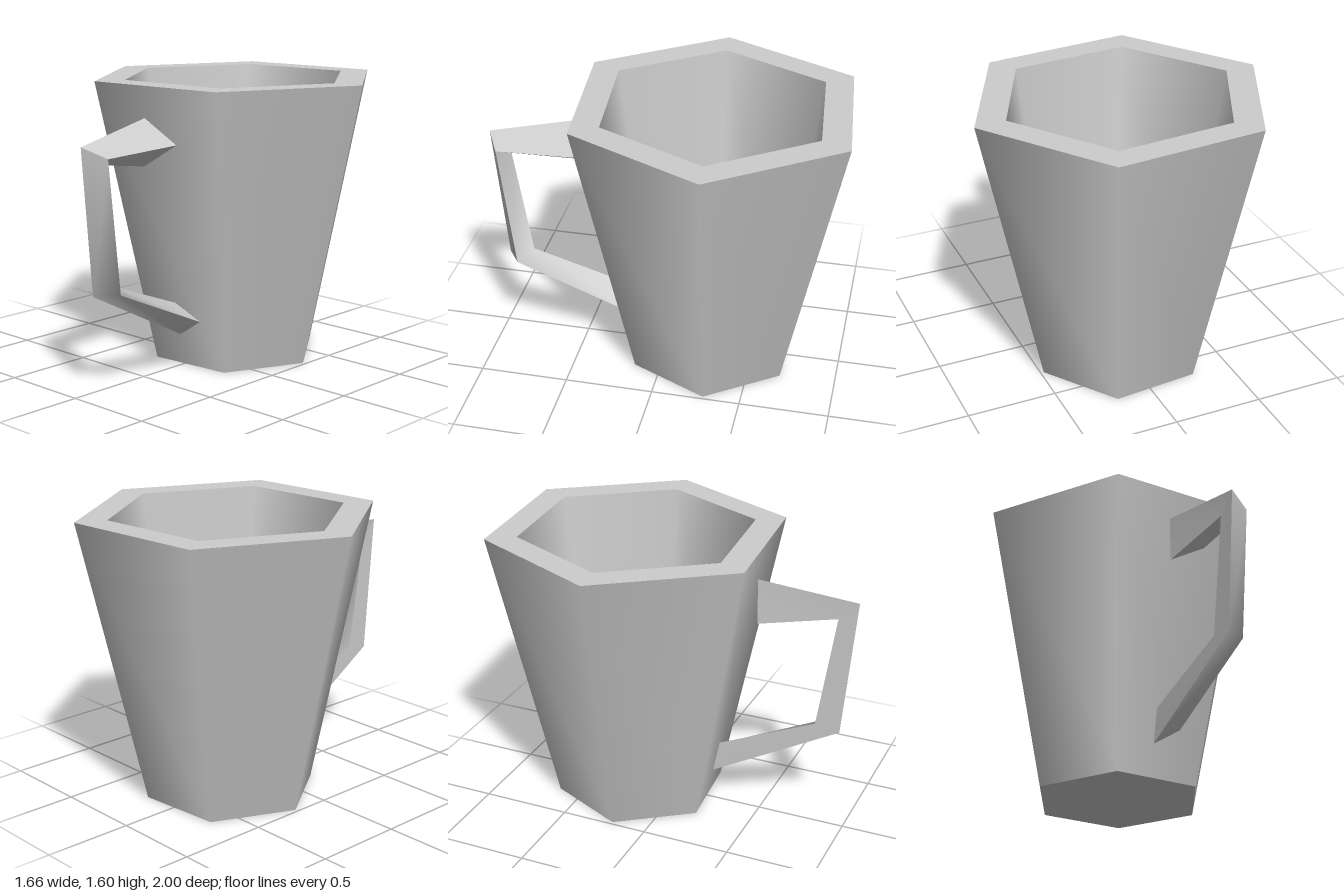
import * as THREE from 'three';

const SIDES = 6;
const TURN = 0.612;
const CENTRE_Z = -0.247;

export function createModel() {
  const mug = new THREE.Group();
  mug.name = 'mug';
  const ceramic = new THREE.MeshStandardMaterial({ color: 0xcccccc });
  ceramic.name = 'light grey ceramic';

  // Hexagonal cup: each band has its own normals, so the rims stay sharp
  const cup = new THREE.Group();
  cup.name = 'cup';
  cup.position.z = CENTRE_Z;
  const profile = [[0, 0], [0.484, 0], [0.835, 1.6], [0.66, 1.6], [0.45, 0.2], [0, 0.2]];
  const names = ['base', 'outerWall', 'rim', 'innerWall', 'innerFloor'];
  names.forEach((name, i) => {
    const points = [profile[i], profile[i + 1]].map(([r, y]) => new THREE.Vector2(r, y));
    const band = new THREE.Mesh(new THREE.LatheGeometry(points, SIDES, TURN), ceramic);
    band.name = name;
    cup.add(band);
  });
  mug.add(cup);

  // Handle: a triangular section swept through two bends
  const rings = [
    [[-0.015, 1.425, 0.46], [0.205, 1.3, 0.444], [-0.015, 1.165, 0.465]],
    [[0.08, 1.34, 1.0], [0.205, 1.285, 0.93], [0.07, 1.235, 0.89]],
    [[0.075, 0.55, 0.93], [0.2, 0.565, 0.85], [0.065, 0.58, 0.79]],
    [[0, 0.18, 0.21], [0.155, 0.28, 0.21], [0, 0.37, 0.25]],
  ];
  const handle = new THREE.Group();
  handle.name = 'handle';
  const addFaces = (name, points, index) => {
    const geometry = new THREE.BufferGeometry();
    geometry.setAttribute('position', new THREE.Float32BufferAttribute(points.flat(), 3));
    geometry.setIndex(index);
    geometry.computeVertexNormals();
    const mesh = new THREE.Mesh(geometry, ceramic);
    mesh.name = name;
    handle.add(mesh);
  };
  // A strip along one side of the section, smooth along its length
  const addStrip = (name, part, side) => {
    const points = part.flatMap((ring) => [ring[side], ring[(side + 1) % 3]]);
    const index = [];
    for (let k = 0; k < part.length - 1; k++) {
      const a = 2 * k;
      index.push(a, a + 2, a + 1, a + 1, a + 2, a + 3);
    }
    addFaces(name, points, index);
  };
  for (let side = 0; side < 3; side++) {
    addStrip('handleTopArm', rings.slice(0, 2), side);
    addStrip('handleGrip', rings.slice(1), side);
  }
  addFaces('handleTopEnd', rings[0], [0, 1, 2]);
  addFaces('handleLowerEnd', rings[3], [2, 1, 0]);
  mug.add(handle);

  return mug;
}
